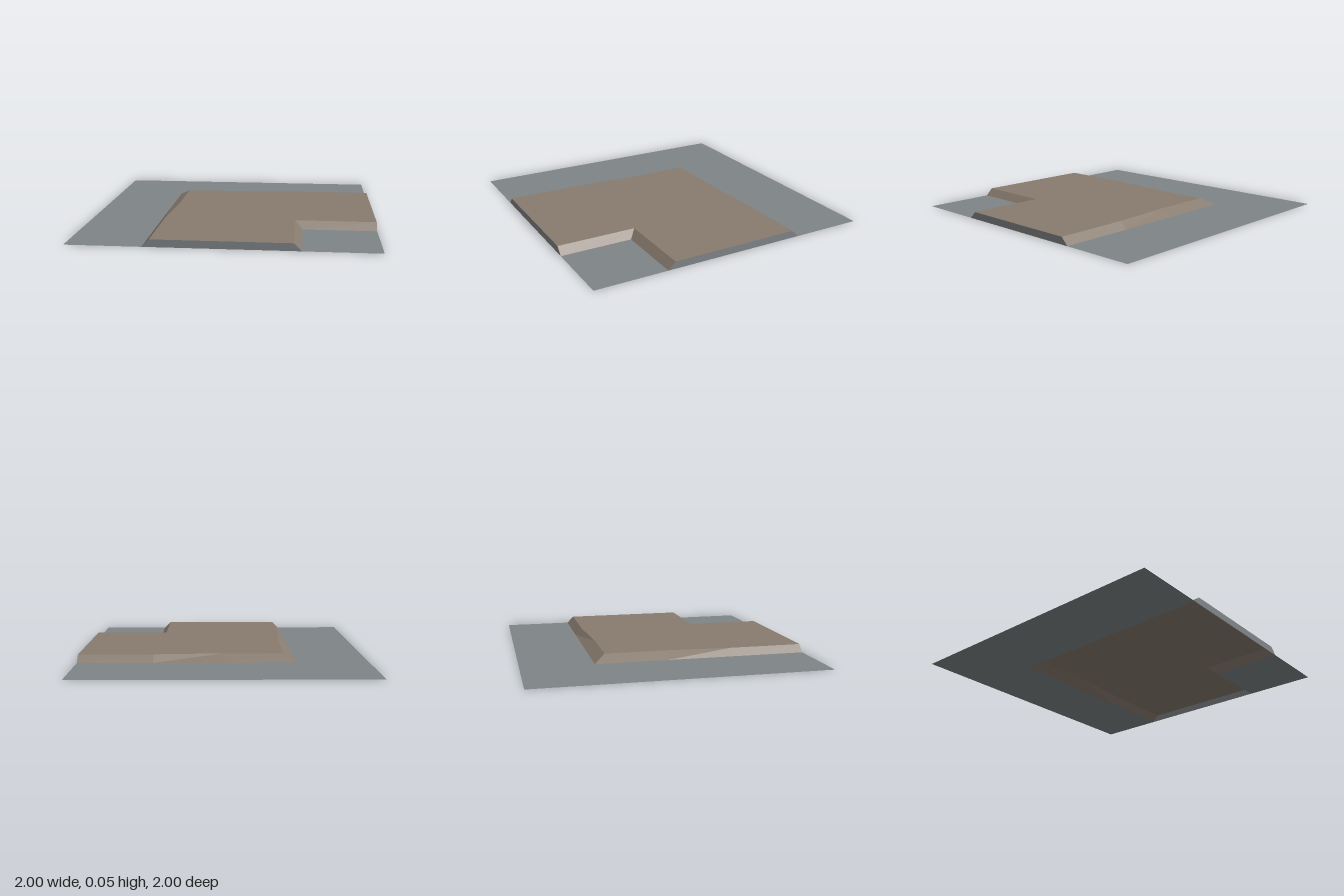
import * as THREE from 'three';

const HEIGHT = 0.05;

// flat horizontal polygon from [x, z] points
function flat(points, y) {
  const shape = new THREE.Shape(points.map(([x, z]) => new THREE.Vector2(x, -z)));
  return new THREE.ShapeGeometry(shape).rotateX(-Math.PI / 2).translate(0, y, 0);
}

// band of faces joining a ground-level path to a raised path, outward facing
function bank(bottom, top) {
  const pos = [];
  for (let i = 0; i < bottom.length - 1; i++) {
    const a = [bottom[i][0], 0, bottom[i][1]];
    const b = [bottom[i + 1][0], 0, bottom[i + 1][1]];
    const c = [top[i + 1][0], HEIGHT, top[i + 1][1]];
    const d = [top[i][0], HEIGHT, top[i][1]];
    pos.push(...a, ...b, ...c, ...a, ...c, ...d);
  }
  const g = new THREE.BufferGeometry();
  g.setAttribute('position', new THREE.Float32BufferAttribute(pos, 3));
  g.computeVertexNormals();
  return g;
}

export function createModel() {
  const group = new THREE.Group();
  const grey = new THREE.MeshStandardMaterial({ color: 0x7f8487, side: THREE.DoubleSide });
  grey.name = 'grey ground';
  const brown = new THREE.MeshStandardMaterial({ color: 0x887b6f, side: THREE.DoubleSide });
  brown.name = 'brown earth';

  const add = (name, geometry, material) => {
    const mesh = new THREE.Mesh(geometry, material);
    mesh.name = name;
    group.add(mesh);
  };

  // outlines of the raised corner: wider bank around the outer bend
  const outerFoot = [[1, -0.5], [0.48, -0.5], [0, -0.5], [-0.5, -0.5], [-0.5, 0], [-0.5, 0.48], [-0.5, 1]];
  const outerRim = [[1, -0.45], [0.48, -0.45], [0, -0.42], [-0.42, -0.42], [-0.42, 0], [-0.45, 0.48], [-0.45, 1]];
  const innerFoot = [[0.5, 1], [0.5, 0.5], [1, 0.5]];
  const innerRim = [[0.45, 1], [0.45, 0.45], [1, 0.45]];

  // ground on both sides, open beneath the raised part
  add('outerGround', flat([[1, -1], [-1, -1], [-1, 1], [-0.5, 1], [-0.5, -0.5], [1, -0.5]], 0), grey);
  add('innerGround', flat([[0.5, 0.5], [1, 0.5], [1, 1], [0.5, 1]], 0), grey);

  // raised surface and its sloping banks
  add('raisedTop', flat([...outerRim, ...innerRim], HEIGHT), brown);
  add('outerBank', bank(outerFoot, outerRim), brown);
  add('innerBank', bank(innerFoot, innerRim), brown);

  // end faces on the tile border
  add('frontEnd', bank([outerFoot[6], innerFoot[0]], [outerRim[6], innerRim[0]]), grey);
  add('leftEnd', bank([innerFoot[2], outerFoot[0]], [innerRim[2], outerRim[0]]), grey);

  return group;
}
